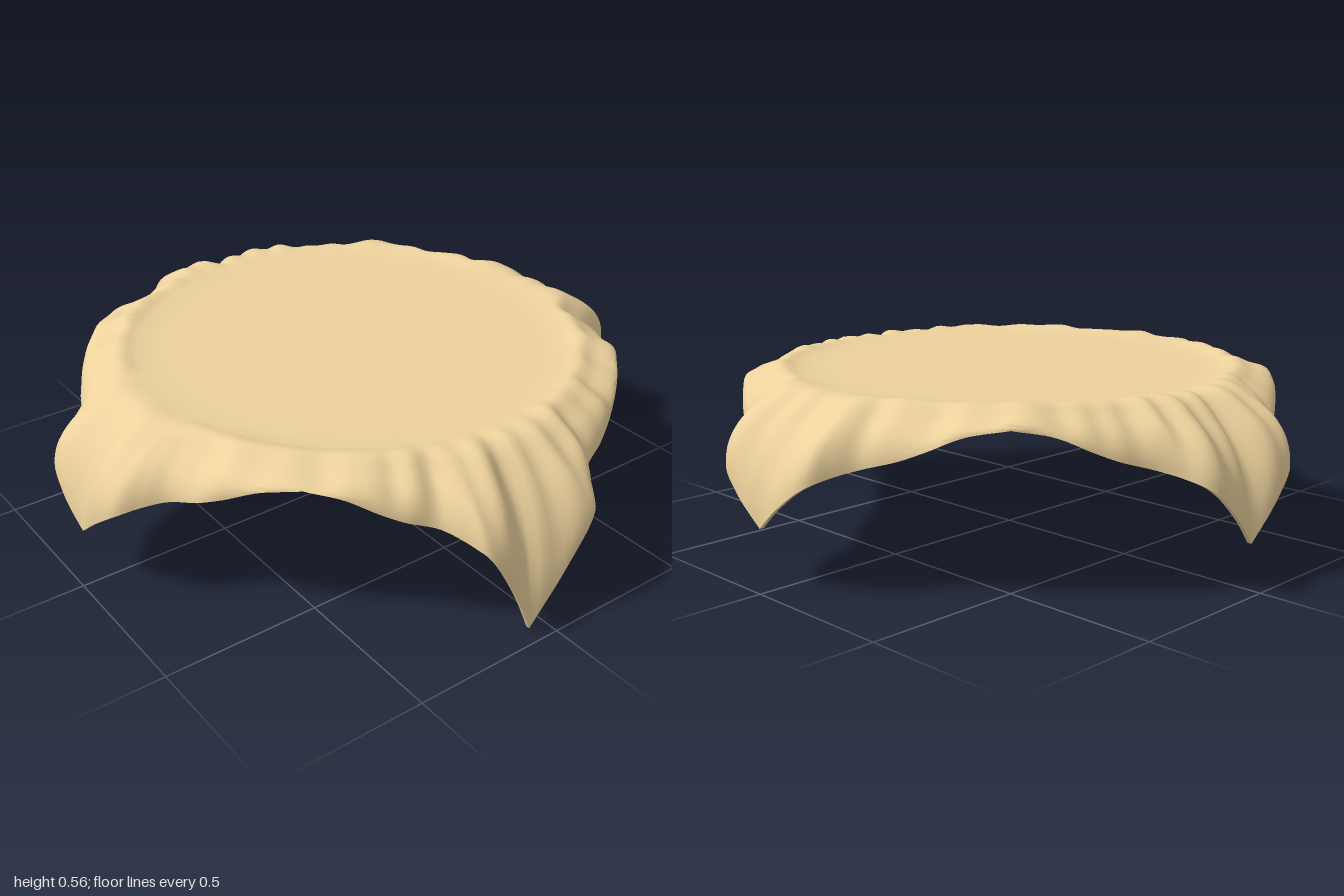
import * as THREE from 'three';
import { toCreasedNormals } from 'three/addons/utils/BufferGeometryUtils.js';

const FLAT = 0.68;      // radius of the flat top
const TOP = 0.54;       // height of the flat top
const THICK = 0.014;    // cloth thickness
const STEPS = 44;       // columns per half corner
const DROP = 20;        // rows from the top edge to the hem

// Hem from a hanging corner to the middle of a side: angle (degrees), radius, height
const hem = new THREE.CatmullRomCurve3([
  [0, 0.972, 0.18], [6, 0.985, 0.265], [11.5, 0.975, 0.335], [14.5, 0.92, 0.36], [18, 0.872, 0.378],
  [25, 0.862, 0.41], [30, 0.858, 0.44], [37, 0.853, 0.485], [45, 0.848, 0.505],
].map(p => new THREE.Vector3(...p)));

// The four corners, at +x, +z, -x, -z: sideways shift, extra length, fold strength
const corners = [
  { shift: 0.06, extra: 0.18, folds: 0.010 },
  { shift: 0.02, extra: 0.0, folds: 0.002 },
  { shift: 0.005, extra: 0.04, folds: 0.010 },
  { shift: 0.03, extra: 0.0, folds: 0.004 },
];

// One column of the cloth: its direction, hem radius, hem height and fold offset
function makeColumn(corner, k, side, t) {
  const p = hem.getPoint(t);
  const near = Math.max(0, 1 - p.x / 12);
  const angle = k * Math.PI / 2 + side * THREE.MathUtils.degToRad(p.x) + corner.shift * (1 - p.x / 45);
  const calm = Math.max(0, 1 - p.x / 40);
  const fold = corner.folds * calm * Math.sin(48 * angle)
    + 0.005 * Math.sin(13 * angle + 1) + 0.004 * Math.sin(29 * angle + 2.3);
  return {
    angle, fold,
    radius: p.y - 0.025 * near * corner.extra / 0.18,
    height: p.z - corner.extra * Math.pow(near, 1.3),
  };
}

// Points from the centre of the top down to the hem, for the outer or inner face
function profile(col, inner) {
  const pts = [];
  const t = inner ? THICK : 0;
  for (const r of [0, 0.3, 0.55, 0.62]) pts.push([r, TOP - 0.002 - t]);
  for (let i = 0; i <= DROP; i++) {
    const a = i / DROP * Math.PI / 2;
    const s = Math.sin(a), c = Math.cos(a);
    const bulge = Math.sin(2 * a);
    const puff = 0.018 * Math.exp(-Math.pow((a - 0.3) / 0.22, 2));
    const r = FLAT + (col.radius - FLAT) * s + col.fold * bulge;
    const y = col.height + (TOP - col.height) * c + puff + col.fold * bulge;
    pts.push([r - t * s, y - t * c]);
  }
  return pts;
}

function clothGeometry() {
  // Columns all the way round, each corner swept from its right side to its left
  const columns = [];
  corners.forEach((corner, k) => {
    for (let i = -STEPS; i < STEPS; i++) {
      columns.push(makeColumn(corner, k, Math.sign(i), Math.abs(i) / STEPS));
    }
  });

  // Outer face down to the hem, then back up the inner face
  const pos = [], index = [];
  let rows = 0;
  for (const col of columns) {
    const section = [...profile(col, false), ...profile(col, true).reverse()];
    rows = section.length;
    for (const [r, y] of section) pos.push(r * Math.cos(col.angle), y, r * Math.sin(col.angle));
  }
  const n = columns.length;
  for (let i = 0; i < n; i++) {
    for (let j = 0; j < rows - 1; j++) {
      const a = i * rows + j, d = ((i + 1) % n) * rows + j;
      if (j > 0) index.push(a, d, a + 1);
      if (j < rows - 2) index.push(d, d + 1, a + 1);
    }
  }
  const geo = new THREE.BufferGeometry();
  geo.setAttribute('position', new THREE.Float32BufferAttribute(pos, 3));
  geo.setIndex(index);
  return toCreasedNormals(geo, 0.9);
}

export function createModel() {
  const group = new THREE.Group();
  group.name = 'drapedCloth';
  const material = new THREE.MeshStandardMaterial({ color: 0xecd19c, side: THREE.DoubleSide });
  const cloth = new THREE.Mesh(clothGeometry(), material);
  cloth.name = 'tablecloth';
  group.add(cloth);
  return group;
}
